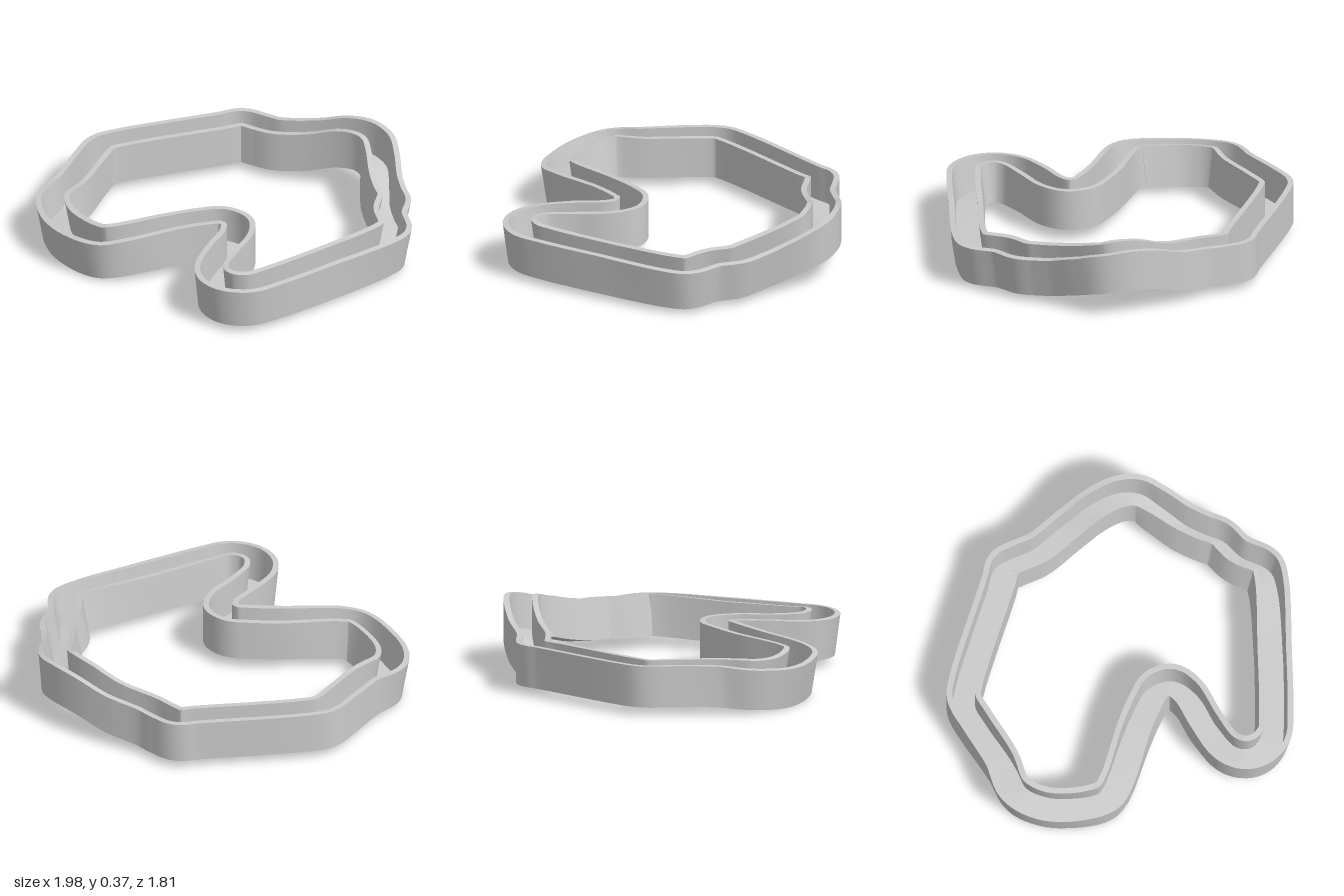
import * as THREE from 'three';

// Track centre line at rim height: x, y, z, outward lean in radians
const STATIONS = [
  [-0.2, 0.27, -0.825, 0], [-0.1, 0.27, -0.81, 0], [0, 0.275, -0.787, 0], [0.2, 0.305, -0.79, 0],
  [0.37, 0.358, -0.78, 0], [0.5, 0.374, -0.75, 0], [0.585, 0.362, -0.70, 0.05], [0.64, 0.335, -0.61, 0.14],
  [0.705, 0.295, -0.46, 0.2], [0.76, 0.28, -0.36, 0.2], [0.81, 0.275, -0.28, 0.2], [0.83, 0.27, -0.15, 0.18],
  [0.90, 0.265, -0.01, 0.18], [0.87, 0.265, 0.08, 0.16], [0.645, 0.265, 0.405, 0.08], [0.44, 0.27, 0.69, 0.1],
  [0.355, 0.274, 0.785, 0.13], [0.25, 0.275, 0.808, 0.13], [0.165, 0.275, 0.77, 0.13], [0.115, 0.275, 0.68, 0.08],
  [0.12, 0.28, 0.5, 0], [0.14, 0.285, 0.33, 0], [0.108, 0.288, 0.228, 0], [0.02, 0.29, 0.198, 0],
  [-0.06, 0.288, 0.23, 0], [-0.2, 0.28, 0.31, 0], [-0.46, 0.262, 0.495, 0.08], [-0.55, 0.252, 0.525, 0.15],
  [-0.73, 0.24, 0.445, 0.2], [-0.85, 0.243, 0.335, 0.2], [-0.905, 0.255, 0.2, 0.15], [-0.86, 0.265, 0.03, 0.04],
  [-0.838, 0.27, -0.2, 0], [-0.815, 0.27, -0.355, 0], [-0.75, 0.27, -0.425, 0], [-0.28, 0.27, -0.765, 0],
];
const STEPS = 6; // rings per station
const HALF = 0.09, INNER = 0.06, DEPTH = 0.22, FLOOR = 0.19;

// Rings: rim centre plus the across and up directions of the leaning section
function makeRings() {
  const n = STATIONS.length;
  const curve = new THREE.CatmullRomCurve3(STATIONS.map(([x, y, z]) => new THREE.Vector3(x, y, z)), true, 'centripetal');
  const rings = [];
  for (let i = 0; i < n * STEPS; i++) {
    const t = i / (n * STEPS);
    const k = Math.floor(i / STEPS);
    const lean = THREE.MathUtils.lerp(STATIONS[k][3], STATIONS[(k + 1) % n][3], (i % STEPS) / STEPS);
    const tan = curve.getTangent(t);
    const side = new THREE.Vector3(tan.z, 0, -tan.x).normalize();
    const c = Math.cos(lean), s = Math.sin(lean);
    rings.push({
      centre: curve.getPoint(t),
      across: side.clone().multiplyScalar(c).setY(-s),
      up: side.clone().multiplyScalar(s).setY(c),
    });
  }
  return rings;
}

// Sweep a line of section points round the loop, each edge its own smooth strip
function sweep(name, rings, profile, material) {
  const pos = [], index = [];
  const n = rings.length;
  for (let e = 0; e < profile.length - 1; e++) {
    const base = pos.length / 3;
    rings.forEach(({ centre, across, up }, i) => {
      for (const [a, b] of [profile[e], profile[e + 1]]) {
        const p = centre.clone().addScaledVector(across, a).addScaledVector(up, b);
        pos.push(p.x, p.y, p.z);
      }
      const p0 = base + i * 2, p1 = base + ((i + 1) % n) * 2;
      index.push(p0, p1, p0 + 1, p0 + 1, p1, p1 + 1);
    });
  }
  const geometry = new THREE.BufferGeometry();
  geometry.setAttribute('position', new THREE.Float32BufferAttribute(pos, 3));
  geometry.setIndex(index);
  geometry.computeVertexNormals();
  const mesh = new THREE.Mesh(geometry, material);
  mesh.name = name;
  return mesh;
}

export function createModel() {
  const group = new THREE.Group();
  group.name = 'raceTrack';
  const material = new THREE.MeshStandardMaterial({ color: 0xcccccc, side: THREE.DoubleSide });
  const rings = makeRings();
  group.add(
    // Wall round the infield: outside face, rim, channel face
    sweep('innerWall', rings, [[-HALF, -DEPTH], [-HALF, 0], [-INNER, 0], [-INNER, -FLOOR]], material),
    // Driving surface
    sweep('roadSurface', rings, [[-INNER, -FLOOR], [INNER, -FLOOR]], material),
    // Wall round the outside: channel face, rim, outside face
    sweep('outerWall', rings, [[INNER, -FLOOR], [INNER, 0], [HALF, 0], [HALF, -DEPTH]], material),
    // Underside
    sweep('underside', rings, [[HALF, -DEPTH], [-HALF, -DEPTH]], material),
  );
  return group;
}
